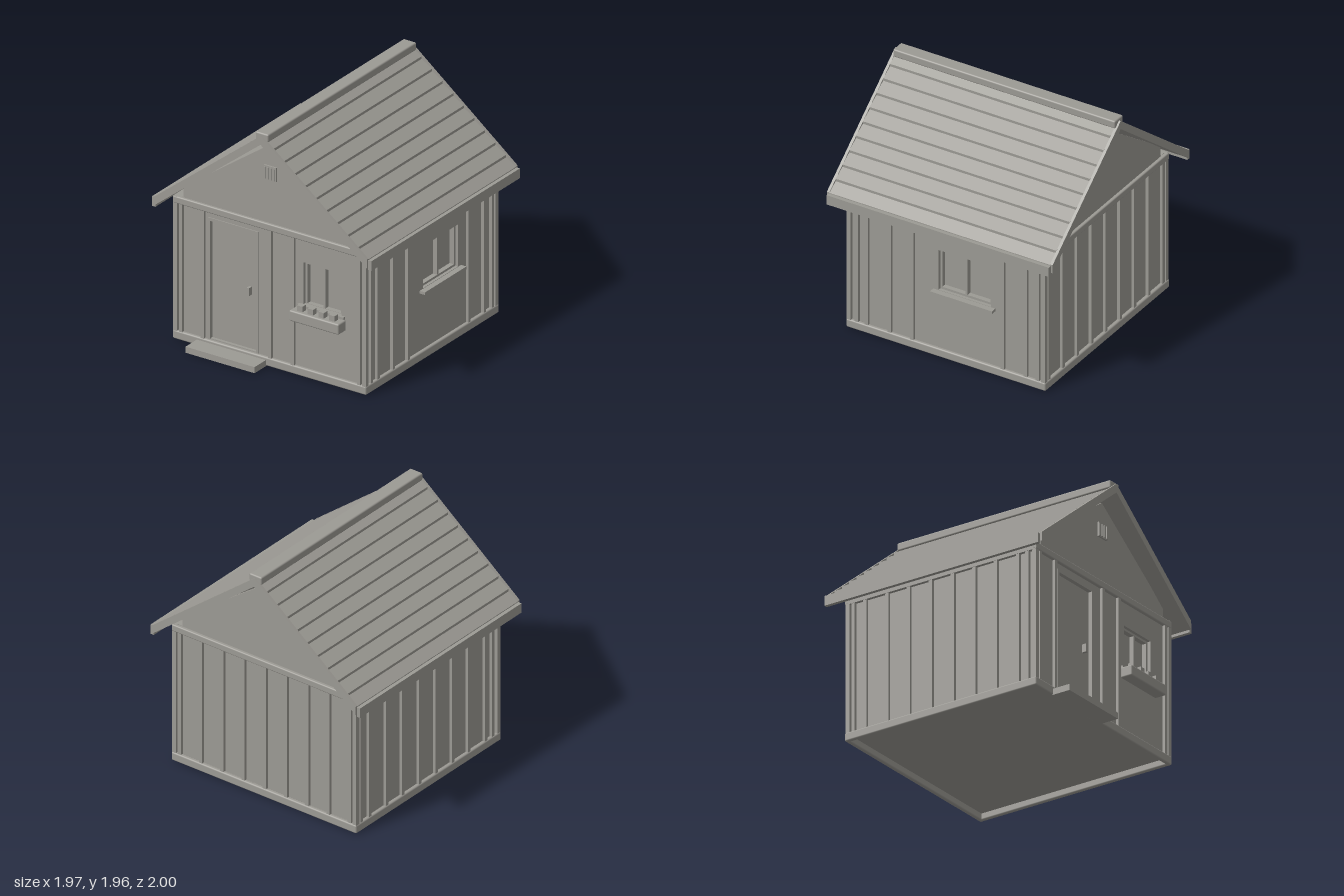
import * as THREE from 'three';
import { RoundedBoxGeometry } from 'three/addons/geometries/RoundedBoxGeometry.js';

export function createModel() {
  const model = new THREE.Group();
  model.name = 'shed';
  const grey = new THREE.MeshStandardMaterial({ color: 0x9c9a94 });
  grey.name = 'warm grey';

  const add = (name, geometry, parent = model) => {
    const mesh = new THREE.Mesh(geometry, grey);
    mesh.name = name;
    parent.add(mesh);
    return mesh;
  };
  // box given by its limits; a radius rounds the edges
  const box = (name, x0, x1, y0, y1, z0, z1, radius = 0, parent = model) => {
    const size = [x1 - x0, y1 - y0, z1 - z0];
    const geometry = radius ? new RoundedBoxGeometry(...size, 2, radius) : new THREE.BoxGeometry(...size);
    add(name, geometry, parent).position.set((x0 + x1) / 2, (y0 + y1) / 2, (z0 + z1) / 2);
  };
  const extrude = (name, points, z0, z1, holes = [], parent = model) => {
    const toPath = (p) => p.map(([x, y]) => new THREE.Vector2(x, y));
    const shape = new THREE.Shape(toPath(points));
    for (const h of holes) shape.holes.push(new THREE.Path(toPath(h)));
    const geometry = new THREE.ExtrudeGeometry(shape, { depth: z1 - z0, bevelEnabled: false });
    geometry.translate(0, 0, z0);
    add(name, geometry, parent);
  };
  const rect = (x0, x1, y0, y1) => [[x0, y0], [x1, y0], [x1, y1], [x0, y1]];

  const FRONT = 0.827, BACK = -0.853, SIDE = 0.84, TOP = 1.172, THICK = 0.08;

  // raised floor inside a ring of base boards, and boards along the wall tops
  box('floor', -0.85, 0.85, 0.055, 0.07, -0.865, 0.835);
  for (const x of [-0.853, 0.853]) {
    box('sideBaseBoard', x - 0.017, x + 0.017, 0.003, 0.073, -0.884, 0.853, 0.012);
    box('sideTopBoard', x - 0.014, x + 0.014, 1.115, TOP, -0.875, 0.85);
  }
  for (const z of [0.836, -0.867]) {
    box('endBaseBoard', -0.87, 0.87, 0.003, 0.073, z - 0.017, z + 0.017, 0.012);
    box('endTopBoard', -0.868, 0.868, 1.115, TOP, z - 0.017, z + 0.017, 0.01);
  }

  // walls, with openings for the door and windows
  extrude('frontWall', rect(-SIDE, SIDE, 0.06, TOP), FRONT - THICK, FRONT,
    [rect(0.29, 0.63, 0.57, 0.93), rect(-0.565, -0.11, 0.08, 1.07)]);
  box('backWall', -SIDE, SIDE, 0.06, TOP, BACK, BACK + THICK);
  box('plainSideWall', -SIDE, -SIDE + THICK, 0.06, TOP, BACK, FRONT);
  const windowWall = new THREE.Group();
  windowWall.name = 'windowSideWall';
  windowWall.rotation.y = Math.PI / 2; // local x runs along -z, local z along +x
  model.add(windowWall);
  extrude('sideWall', rect(-FRONT, -BACK, 0.06, TOP), SIDE - THICK, SIDE,
    [rect(-0.065, 0.39, 0.565, 0.91)], windowWall);

  // window frame, mullion and pane, set back in the opening
  const makeWindow = (parent, x0, x1, y0, y1, face) => {
    const g = new THREE.Group();
    g.name = 'window';
    parent.add(g);
    const t = 0.018, mid = (x0 + x1) / 2, back = face - THICK;
    extrude('windowFrame', rect(x0, x1, y0, y1), back, face - 0.025,
      [rect(x0 + t, x1 - t, y0 + t, y1 - t)], g);
    box('mullion', mid - 0.009, mid + 0.009, y0 + t, y1 - t, back, face - 0.027, 0, g);
    box('windowPane', x0 + 0.01, x1 - 0.01, y0 + 0.01, y1 - 0.01, back + 0.008, back + 0.016, 0, g);
  };
  makeWindow(model, 0.29, 0.63, 0.57, 0.93, FRONT);
  makeWindow(windowWall, -0.065, 0.39, 0.565, 0.91, SIDE);
  box('frontSill', 0.25, 0.665, 0.562, 0.585, FRONT - 0.03, 0.85);
  box('sideSill', -0.11, 0.43, 0.54, 0.562, SIDE - 0.03, 0.888, 0, windowWall);

  // corner posts
  for (const x of [-0.848, 0.848])
    for (const z of [0.832, -0.86])
      box('cornerPost', x - 0.018, x + 0.018, 0.06, 1.13, z - 0.018, z + 0.018);

  // vertical battens
  const LOW = 0.065, HIGH = 1.12, W = 0.015;
  for (const x of [-0.8, -0.605, 0, 0.205, 0.8])
    box('frontBatten', x - W, x + W, LOW, HIGH, FRONT - 0.01, 0.849);
  for (let i = -4; i <= 4; i++)
    box('backBatten', i * 0.2 - W, i * 0.2 + W, LOW, HIGH, -0.877, BACK + 0.01);
  for (const z of [0.765, 0.68, 0.48, 0.285, 0.09, -0.11, -0.31, -0.505, -0.705, -0.81]) {
    box('plainSideBatten', -0.864, -SIDE + 0.01, LOW, HIGH, z - W, z + W);
    if (z > 0.2 || z < -0.45)
      box('windowSideBatten', SIDE - 0.01, 0.864, LOW, HIGH, z - W, z + W);
  }

  // door set back in its frame, with handle and step
  extrude('doorFrame', [[-0.565, 0.07], [-0.545, 0.07], [-0.545, 1.045], [-0.13, 1.045], [-0.13, 0.07],
    [-0.11, 0.07], [-0.11, 1.07], [-0.565, 1.07]], FRONT - THICK, FRONT + 0.008);
  box('door', -0.546, -0.129, 0.075, 1.046, FRONT - THICK, FRONT - 0.025);
  box('doorHandle', -0.212, -0.19, 0.525, 0.59, 0.795, 0.84);
  box('step', -0.65, -0.03, 0, 0.05, 0.845, 1.0);

  // flower box
  box('flowerBox', 0.235, 0.68, 0.478, 0.565, 0.835, 0.937, 0.012);
  for (let i = 0; i < 4; i++) {
    const x = 0.315 + i * 0.096;
    box('flower', x - 0.024, x + 0.024, 0.555, 0.61, 0.865, 0.912);
  }

  // gables and vent
  const gable = [[-0.785, 1.16], [0.785, 1.16], [0.785, 1.262], [0, 1.82], [-0.785, 1.262]];
  extrude('frontGable', gable, FRONT - 0.03, FRONT + 0.005);
  extrude('backGable', gable, BACK - 0.005, BACK + 0.03);
  box('vent', -0.055, 0.055, 1.527, 1.643, FRONT, 0.845);
  for (let i = 0; i < 4; i++) {
    const x = -0.042 + i * 0.028;
    box('ventSlat', x - 0.007, x + 0.007, 1.535, 1.635, 0.84, 0.853);
  }

  // roof sides: a stepped section makes the lapped courses
  const SLOPE = 0.79, EAVE = 0.955;
  const line = (x, y) => [x, y - SLOPE * x];
  for (const s of [-1, 1]) {
    const profile = [[0, 1.87], [0, 1.92]];
    for (let i = 0; i < 9; i++) {
      const x = 0.107 + i * 0.095;
      profile.push(line(x, 1.942), line(x, 1.921));
    }
    profile.push(line(EAVE, 1.935), line(EAVE, 1.87));
    extrude('roofSide', profile.map(([x, y]) => [s * x, y]), -0.978, 0.945);
    const x = s * 0.97;
    box('eaveBoard', x - 0.015, x + 0.015, 1.094, 1.174, -0.985, 0.95);
  }

  // sloping boards on both roof ends, and the ridge cap
  const chevron = [line(0, 1.939), line(EAVE, 1.939), line(EAVE, 1.868), line(0, 1.868)];
  const mirrored = chevron.slice(1, 3).reverse().map(([x, y]) => [-x, y]);
  extrude('frontBargeBoard', [...chevron, ...mirrored], 0.944, 0.966);
  extrude('backBargeBoard', [...chevron, ...mirrored], -1.0, -0.977);
  box('ridgeCap', -0.058, 0.058, 1.892, 1.957, -0.985, 0.95, 0.012);

  return model;
}
